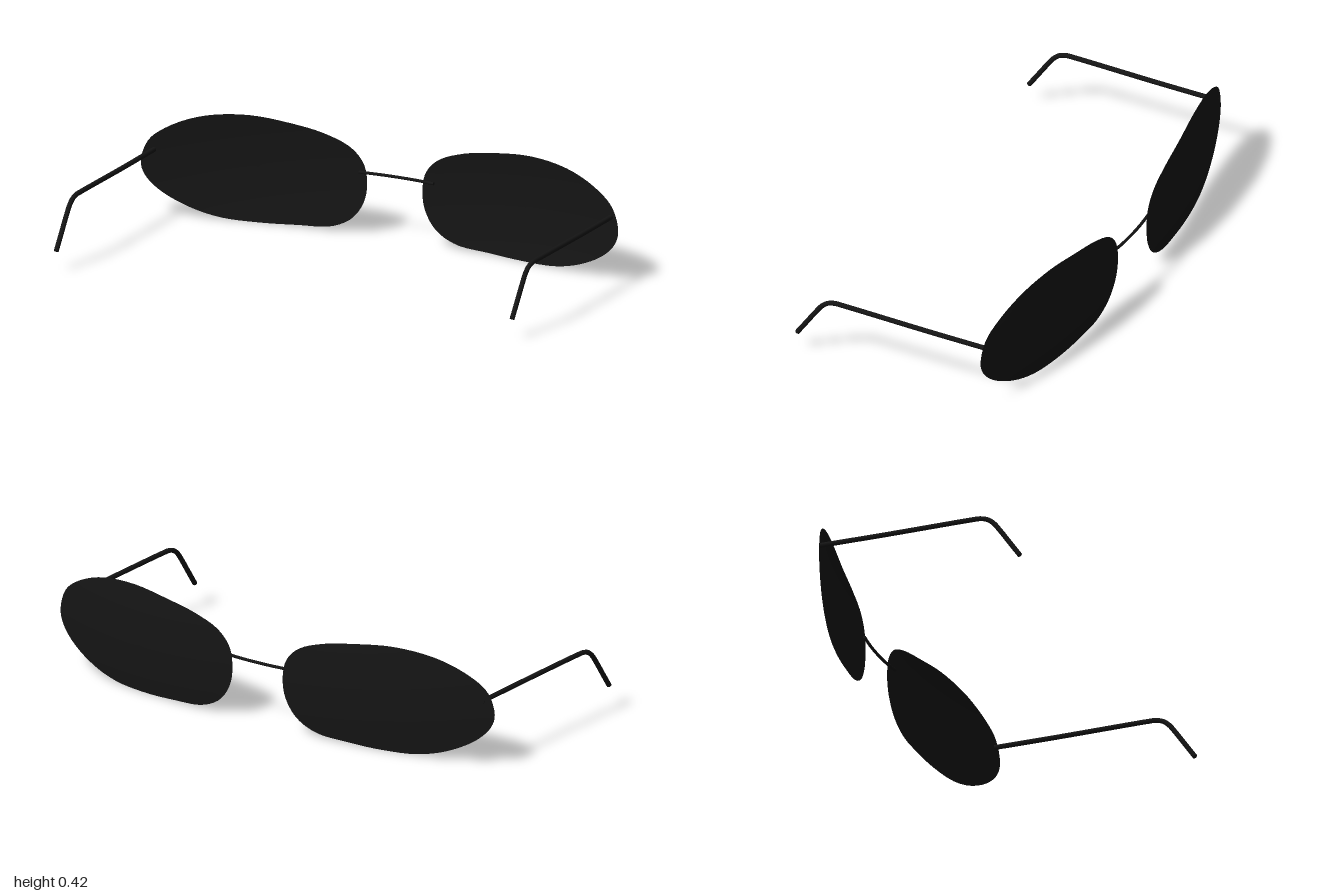
import * as THREE from 'three';

const material = new THREE.MeshStandardMaterial({ color: 0x151515, side: THREE.DoubleSide });

// Lens outline: [distance from the middle, height]
const outline = [
  [1, 0.21], [0.972, 0.295], [0.9, 0.352], [0.77, 0.403], [0.6, 0.422], [0.43, 0.406],
  [0.29, 0.38], [0.185, 0.338], [0.133, 0.28], [0.12, 0.2], [0.133, 0.13], [0.18, 0.062],
  [0.265, 0.02], [0.4, 0.009], [0.55, 0.003], [0.7, 0.01], [0.82, 0.042], [0.93, 0.1], [0.985, 0.157],
];

// Thin lens, filled by rings that shrink to the centre and bent both ways
function makeLens(name, side, shiftX, backZ, bend) {
  const curve = new THREE.CatmullRomCurve3(outline.map(([x, y]) => new THREE.Vector3(x, y, 0)), true);
  const n = 80, rings = 10;
  const edge = curve.getPoints(n).slice(0, n);
  const positions = [], indices = [];
  for (let r = 0; r <= rings; r++) {
    for (const p of edge) {
      const t = r / rings;
      const x = 0.56 + (p.x - 0.56) * t;
      const y = 0.21 + (p.y - 0.21) * t;
      const z = backZ + bend * (x - 0.22) ** 2 + 0.33 * (y - 0.21) ** 2;
      positions.push(side * x + shiftX, y, z);
    }
  }
  for (let r = 0; r < rings; r++) {
    for (let i = 0; i < n; i++) {
      const j = (i + 1) % n;
      const a = r * n + i, b = r * n + j, c = a + n, d = b + n;
      const quad = r === 0 ? [a, c, d] : [a, c, d, a, d, b];
      // Mirrored side gets the opposite winding
      if (side > 0) quad.reverse();
      indices.push(...quad);
    }
  }
  const geometry = new THREE.BufferGeometry();
  geometry.setAttribute('position', new THREE.Float32BufferAttribute(positions, 3));
  geometry.setIndex(indices);
  geometry.computeVertexNormals();
  const mesh = new THREE.Mesh(geometry, material);
  mesh.name = name;
  return mesh;
}

// Round wire along a path, with closed ends
function makeWire(name, points, radius, segments) {
  const group = new THREE.Group();
  group.name = name;
  const curve = new THREE.CatmullRomCurve3(points.map((p) => new THREE.Vector3(...p)), false, 'centripetal');
  group.add(new THREE.Mesh(new THREE.TubeGeometry(curve, segments, radius, 10), material));
  for (const t of [0, 1]) {
    const cap = new THREE.Mesh(new THREE.CircleGeometry(radius, 10), material);
    const end = curve.getPoint(t);
    cap.position.copy(end);
    cap.lookAt(end.clone().addScaledVector(curve.getTangent(t), t ? 1 : -1));
    group.add(cap);
  }
  return group;
}

// Temple arm: straight run, rounded bend, sloping ear piece
function makeArm(name, hingeX, tipX, hingeZ, tipZ) {
  const profile = [
    [hingeZ, 0.258], [-0.1, 0.26], [tipZ - 0.19, 0.263], [tipZ - 0.16, 0.262], [tipZ - 0.13, 0.253],
    [tipZ - 0.105, 0.233], [tipZ - 0.08, 0.2], [tipZ - 0.04, 0.142], [tipZ, 0.084],
  ];
  const points = profile.map(([z, y]) => {
    const t = (z - hingeZ) / (tipZ - hingeZ);
    return [hingeX + (tipX - hingeX) * t * (0.4 + 0.6 * t), y, z];
  });
  return makeWire(name, points, 0.0095, 80);
}

export function createModel() {
  const model = new THREE.Group();
  model.name = 'sunglasses';
  model.add(
    makeLens('rightLens', -1, 0, -0.475, 0.213),
    makeLens('leftLens', 1, -0.008, -0.471, 0.23),
    makeWire('bridge', [[-0.15, 0.248, -0.466], [-0.07, 0.248, -0.471], [0.01, 0.248, -0.471],
      [0.09, 0.248, -0.466], [0.165, 0.248, -0.455]], 0.006, 24),
    makeArm('rightArm', -0.952, -0.974, -0.36, 0.444),
    makeArm('leftArm', 0.957, 0.932, -0.34, 0.466),
  );
  return model;
}
